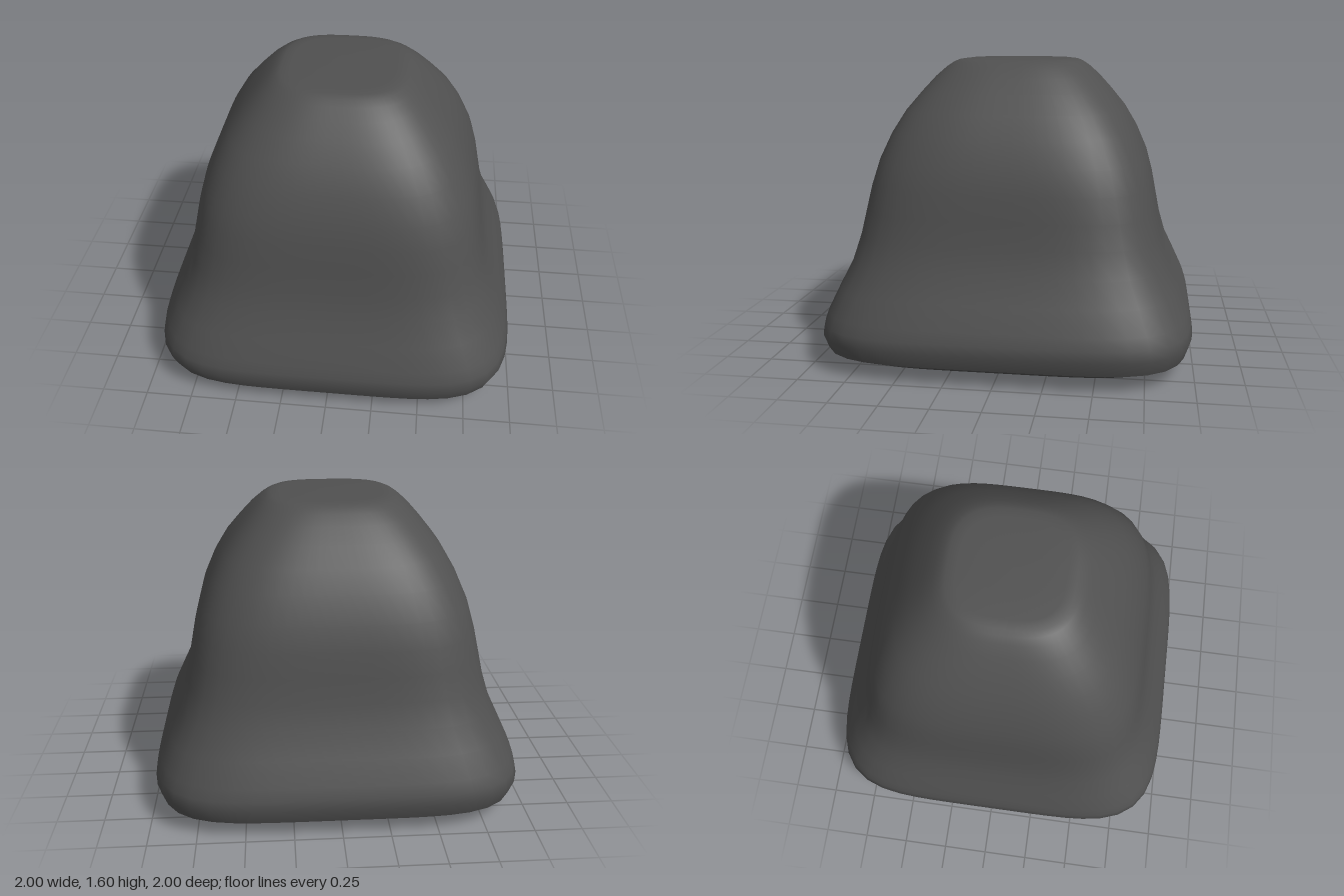
import * as THREE from 'three';

const SEGMENTS = 72;

// Lofts rounded-square rings, each [half width, height, squareness], listed from top to bottom.
function loftRings(rings) {
  const positions = [];
  const indices = [];
  for (const [radius, y, n] of rings) {
    for (let i = 0; i < SEGMENTS; i++) {
      const a = (i / SEGMENTS) * Math.PI * 2;
      const c = Math.cos(a), s = Math.sin(a);
      const r = radius / Math.pow(Math.abs(c) ** n + Math.abs(s) ** n, 1 / n);
      positions.push(r * c, y, r * s);
    }
  }
  for (let j = 0; j < rings.length - 1; j++) {
    for (let i = 0; i < SEGMENTS; i++) {
      const k = (i + 1) % SEGMENTS;
      const a = j * SEGMENTS + i, b = j * SEGMENTS + k;
      const c = a + SEGMENTS, d = b + SEGMENTS;
      indices.push(a, b, c, b, d, c);
    }
  }
  const geometry = new THREE.BufferGeometry();
  geometry.setAttribute('position', new THREE.Float32BufferAttribute(positions, 3));
  geometry.setIndex(indices);
  geometry.computeVertexNormals();
  return geometry;
}

export function createModel() {
  const group = new THREE.Group();
  group.name = 'flaredBlock';
  const material = new THREE.MeshStandardMaterial({ color: 0x505050 });

  // Flat top, bulging shoulders and a flared skirt
  const body = new THREE.Mesh(loftRings([
    [0, 1.595, 3], [0.15, 1.595, 3], [0.28, 1.594, 3], [0.33, 1.588, 3],
    [0.36, 1.575, 3], [0.395, 1.55, 3.1], [0.45, 1.5, 3.2], [0.52, 1.42, 3.4],
    [0.6, 1.32, 3.6], [0.67, 1.2, 3.8], [0.73, 1.06, 4], [0.765, 0.93, 4.2],
    [0.79, 0.8, 4.4], [0.815, 0.67, 4.6], [0.855, 0.53, 4.8], [0.915, 0.4, 5],
    [0.97, 0.28, 5], [0.99, 0.22, 5], [1, 0.165, 5], [0.975, 0.09, 5],
  ]), material);
  body.name = 'body';

  // Shallow curved underside, meeting the skirt at a sharp edge
  const underside = new THREE.Mesh(loftRings([
    [0.975, 0.09, 5], [0.87, 0.04, 5], [0.71, 0.01, 4.5], [0.55, 0, 4], [0.25, 0, 4], [0, 0, 4],
  ]), material);
  underside.name = 'underside';

  // Triangles face outward: rings run from top to bottom
  for (const mesh of [body, underside]) {
    const index = mesh.geometry.index;
    const p = mesh.geometry.attributes.position;
    const [a, b, c] = [0, 1, 2].map((i) => new THREE.Vector3().fromBufferAttribute(p, index.getX(SEGMENTS * 3 + i)));
    const normal = new THREE.Triangle(a, b, c).getNormal(new THREE.Vector3());
    const outward = mesh === body ? 1 : -1;
    if (normal.y * outward < 0) {
      index.array.reverse();
      mesh.geometry.computeVertexNormals();
    }
    group.add(mesh);
  }
  return group;
}
